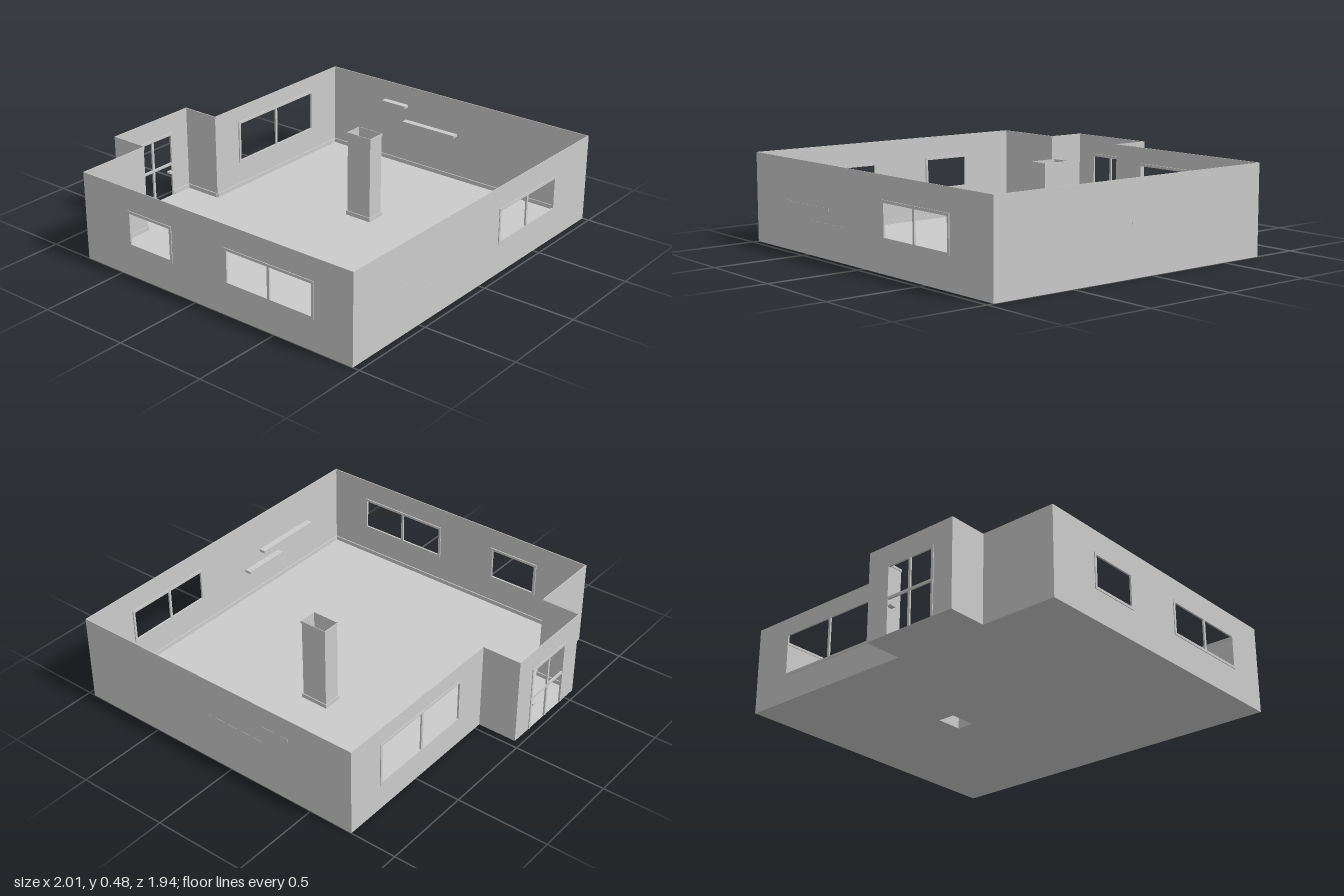
import * as THREE from 'three';

const HEIGHT = 0.48;
const material = new THREE.MeshStandardMaterial({ color: 0xcccccc, side: THREE.DoubleSide });

function addMesh(parent, name, geometry) {
  const mesh = new THREE.Mesh(geometry, material);
  mesh.name = name;
  parent.add(mesh);
  return mesh;
}

// Box given by its min and max corners
function addBox(parent, name, x0, x1, y0, y1, z0, z1) {
  const mesh = addMesh(parent, name, new THREE.BoxGeometry(x1 - x0, y1 - y0, z1 - z0));
  mesh.position.set((x0 + x1) / 2, (y0 + y1) / 2, (z0 + z1) / 2);
  return mesh;
}

function rectangle(x0, x1, y0, y1) {
  return [[x0, y0], [x1, y0], [x1, y1], [x0, y1]].map(([x, y]) => new THREE.Vector2(x, y));
}

// Frame bars around an opening, with optional mullion, crossbar and sill
function addFrame(parent, name, { u0, u1, v0, v1, mullion, crossbar, door }) {
  const frame = new THREE.Group();
  frame.name = name;
  parent.add(frame);
  const w = 0.014, back = -0.006, front = 0.004;
  addBox(frame, 'sideBar', u0, u0 + w, v0, v1, back, front);
  addBox(frame, 'sideBar', u1 - w, u1, v0, v1, back, front);
  addBox(frame, 'topBar', u0 + w, u1 - w, v1 - w, v1, back, front);
  if (!door) addBox(frame, 'bottomBar', u0 + w, u1 - w, v0, v0 + w, back, front);
  if (mullion) addBox(frame, 'mullion', mullion - 0.007, mullion + 0.007, v0, v1 - w, back, front - 0.001);
  if (crossbar) addBox(frame, 'crossbar', u0 + w, u1 - w, crossbar - 0.007, crossbar + 0.007, back, front - 0.001);
  if (door) addBox(frame, 'doorHandle', u0 + 0.018, u0 + 0.045, 0.14, 0.15, -0.02, 0.006);
}

// Wall in its own frame: u runs along it, v up, +z points outward
function addWall(parent, name, from, to, { openings = [], shelves = [] } = {}) {
  const dx = to[0] - from[0], dz = to[1] - from[1];
  const length = Math.hypot(dx, dz);
  const wall = new THREE.Group();
  wall.name = name;
  wall.position.set(from[0], 0, from[1]);
  wall.rotation.y = Math.atan2(-dz, dx);
  parent.add(wall);

  const panel = new THREE.Shape(rectangle(0, length, 0, HEIGHT));
  for (const o of openings) {
    panel.holes.push(new THREE.Path(rectangle(o.u0, o.u1, o.v0, o.v1).reverse()));
    addFrame(wall, o.door ? 'door' : 'windowFrame', o);
  }
  addMesh(wall, 'wallPanel', new THREE.ShapeGeometry(panel));

  for (const [u0, u1, v0, v1] of shelves) addBox(wall, 'shelf', u0, u1, v0, v1, -0.037, 0.001);

  // Skirting leaves the doorway free
  const door = openings.find((o) => o.door);
  const runs = door ? [[0, door.u0], [door.u1, length]] : [[0, length]];
  for (const [u0, u1] of runs) addBox(wall, 'skirting', u0, u1, 0.001, 0.024, -0.007, -0.001);
  addBox(wall, 'cornice', 0, length, HEIGHT - 0.014, HEIGHT - 0.0005, -0.005, -0.001);
}

export function createModel() {
  const model = new THREE.Group();
  model.name = 'room';

  // Plan outline, anticlockwise from above, as [x, z]
  const plan = [
    [-1, 0.963], [1, 0.963], [1, -0.747], [-0.04, -0.747],
    [-0.04, -0.963], [-0.58, -0.963], [-0.58, -0.747], [-1, -0.747],
  ];

  const details = [
    ['frontWall', {
      openings: [{ u0: 1.16, u1: 1.685, v0: 0.165, v1: 0.36, mullion: 1.413 }],
      shelves: [[0.275, 0.69, 0.244, 0.259], [0.535, 0.815, 0.167, 0.182]],
    }],
    ['leftSideWall', {
      shelves: [[0.83, 1.185, 0.259, 0.274], [1.173, 1.335, 0.352, 0.367]],
    }],
    ['backWall', {
      openings: [{ u0: 0.215, u1: 0.855, v0: 0.145, v1: 0.392, mullion: 0.54 }],
    }],
    ['alcoveSide'],
    ['entranceWall', {
      openings: [{ u0: 0.12, u1: 0.425, v0: 0.002, v1: 0.372, mullion: 0.272, crossbar: 0.19, door: true }],
    }],
    ['alcoveSide'],
    ['shortBackWall'],
    ['rightSideWall', {
      openings: [
        { u0: 0.305, u1: 0.602, v0: 0.165, v1: 0.36 },
        { u0: 0.945, u1: 1.487, v0: 0.165, v1: 0.36, mullion: 1.216 },
      ],
    }],
  ];
  details.forEach(([name, options], i) => {
    addWall(model, name, plan[i], plan[(i + 1) % plan.length], options);
  });

  // Floor with the shaft opening
  const x0 = 0.24, x1 = 0.337, z0 = -0.05, z1 = 0.1;
  const floorShape = new THREE.Shape(plan.map(([x, z]) => new THREE.Vector2(x, -z)));
  floorShape.holes.push(new THREE.Path(rectangle(x0, x1, -z1, -z0).reverse()));
  addMesh(model, 'floor', new THREE.ShapeGeometry(floorShape).rotateX(-Math.PI / 2));

  // Hollow square pillar, open at both ends
  const pillar = new THREE.Group();
  pillar.name = 'pillar';
  model.add(pillar);
  const corners = [[x0, z1], [x1, z1], [x1, z0], [x0, z0]];
  corners.forEach((a, i) => {
    const b = corners[(i + 1) % 4];
    const dx = b[0] - a[0], dz = b[1] - a[1];
    const length = Math.hypot(dx, dz);
    const side = new THREE.Group();
    side.name = 'pillarSide';
    side.position.set(a[0], 0, a[1]);
    side.rotation.y = Math.atan2(-dz, dx);
    pillar.add(side);
    addMesh(side, 'pillarPanel', new THREE.PlaneGeometry(length, HEIGHT)).position.set(length / 2, HEIGHT / 2, 0);
    addBox(side, 'pillarSkirting', -0.006, length + 0.006, 0.001, 0.024, 0.001, 0.006);
    addBox(side, 'pillarCornice', -0.004, length + 0.004, HEIGHT - 0.014, HEIGHT - 0.0005, 0.001, 0.004);
  });

  return model;
}
